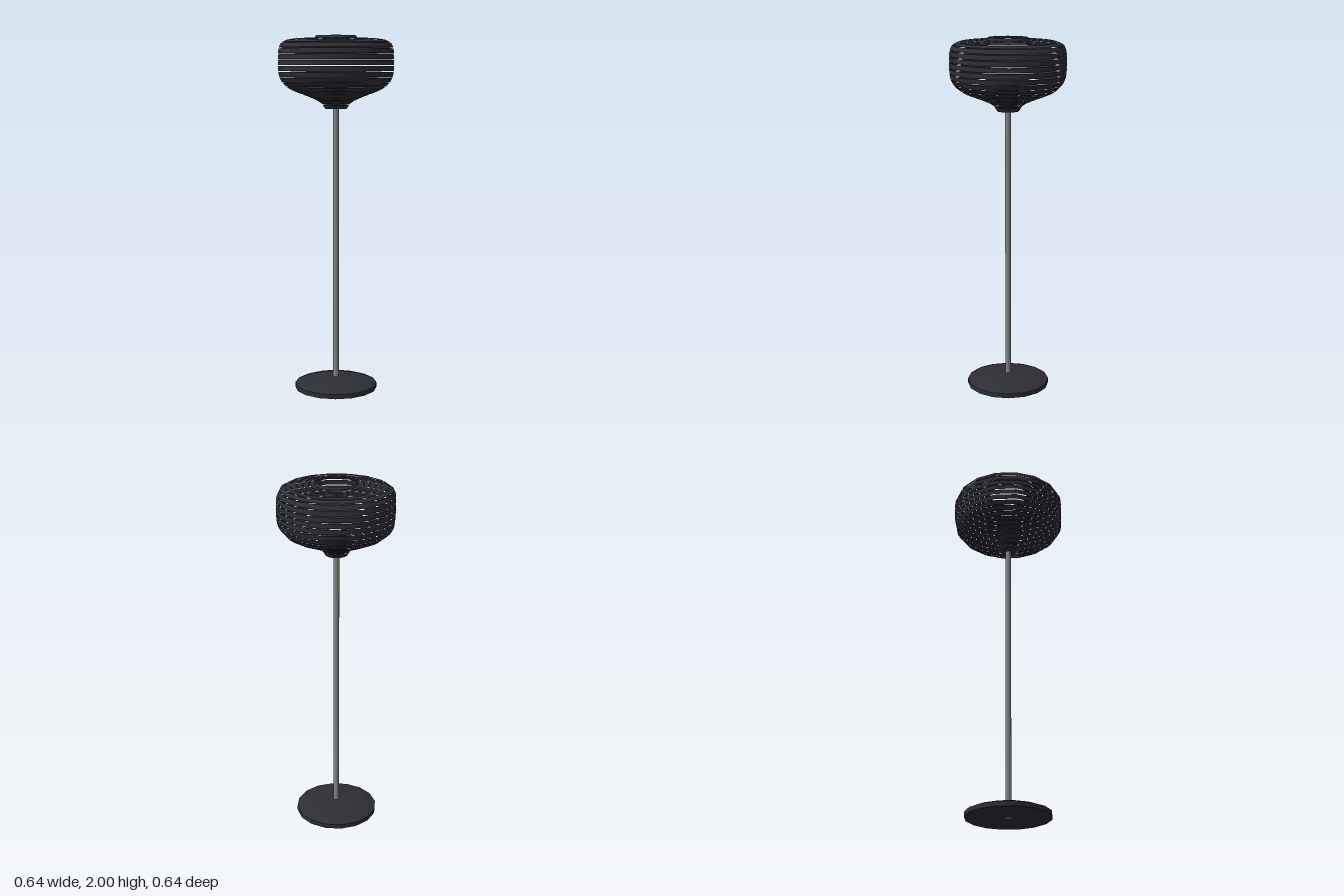
import * as THREE from 'three';

const SIDES = 16;

export function createModel() {
  const lamp = new THREE.Group();
  lamp.name = 'floorLamp';

  const darkMetal = new THREE.MeshStandardMaterial({ color: 0x2e2e36, side: THREE.DoubleSide });
  darkMetal.name = 'dark metal';
  const greyMetal = new THREE.MeshStandardMaterial({ color: 0x858585 });
  greyMetal.name = 'grey metal';
  const glass = new THREE.MeshStandardMaterial({ color: 0xbcbcbc });
  glass.name = 'bulb glass';

  const add = (parent, name, geometry, material, y = 0) => {
    const mesh = new THREE.Mesh(geometry, material);
    mesh.name = name;
    mesh.position.y = y;
    parent.add(mesh);
    return mesh;
  };
  const lathe = (pairs) =>
    new THREE.LatheGeometry(pairs.map(([r, y]) => new THREE.Vector2(r, y)), SIDES);

  // Foot: flat underside, upright rim and shallow dome as separate crisp surfaces
  const base = new THREE.Group();
  base.name = 'base';
  lamp.add(base);
  add(base, 'baseUnderside', lathe([[0.016, 0], [0.234, 0]]), darkMetal);
  add(base, 'baseRim', lathe([[0.234, 0], [0.234, 0.026]]), darkMetal);
  add(base, 'baseDome', lathe([[0.234, 0.026], [0.2, 0.039], [0.15, 0.05], [0.08, 0.06], [0, 0.064]]), darkMetal);

  // Pole runs right through the foot up into the socket
  add(lamp, 'pole', new THREE.CylinderGeometry(0.016, 0.016, 1.64, SIDES), greyMetal, 0.82);

  // Socket cup and the bulb resting in it
  add(lamp, 'socket', lathe([[0, 1.6], [0.045, 1.605], [0.055, 1.65], [0.056, 1.75]]), darkMetal);
  add(lamp, 'bulb', new THREE.SphereGeometry(0.055, SIDES, 12), glass, 1.706);

  // Shade: thin slats spaced evenly along the profile, with see-through slits
  const shade = new THREE.Group();
  shade.name = 'shade';
  lamp.add(shade);
  const profile = new THREE.CurvePath();
  const outline = [
    [0.06, 1.598], [0.07, 1.615], [0.085, 1.632], [0.13, 1.655], [0.2, 1.682], [0.26, 1.708],
    [0.3, 1.745], [0.318, 1.79], [0.321, 1.86], [0.319, 1.92], [0.305, 1.957], [0.275, 1.975],
    [0.235, 1.982], [0.18, 1.985], [0.118, 1.986],
  ].map(([r, y]) => new THREE.Vector2(r, y));
  profile.add(new THREE.SplineCurve(outline));
  const slats = 22;
  const slit = 0.17;
  for (let i = 0; i < slats; i++) {
    const ends = [i, i + 1 - slit].map((k) => profile.getPointAt(k / (slats - slit)));
    add(shade, 'slat', new THREE.LatheGeometry(ends, SIDES), darkMetal);
  }
  // Raised collar around the top opening
  add(shade, 'collar', lathe([[0.118, 1.986], [0.11, 2]]), darkMetal);

  return lamp;
}
